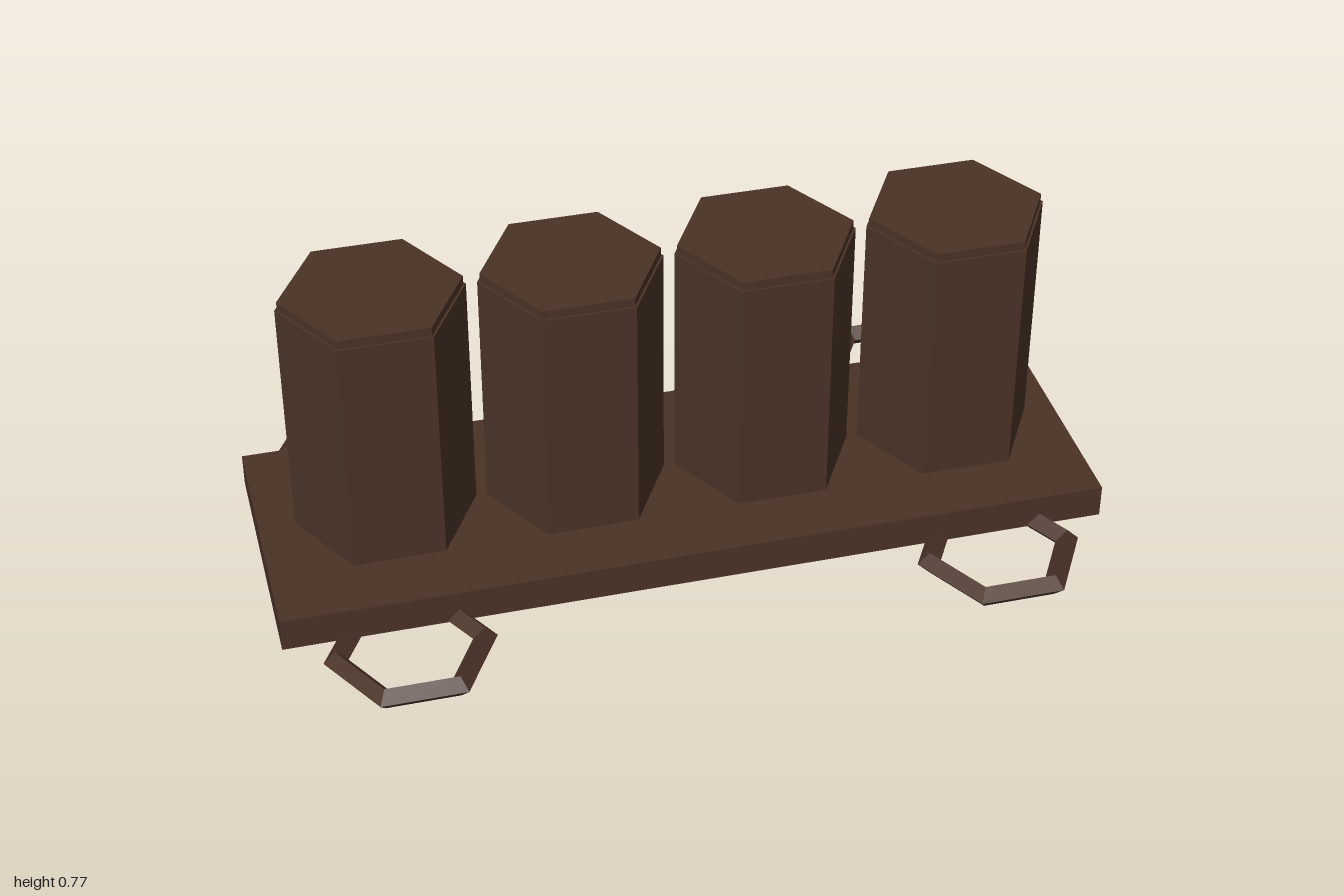
import * as THREE from 'three';

export function createModel() {
  const model = new THREE.Group();
  const brown = new THREE.MeshStandardMaterial({ color: 0x4a3226, flatShading: true });
  brown.name = 'dark brown';

  const add = (parent, name, geometry, x, y, z) => {
    const mesh = new THREE.Mesh(geometry, brown);
    mesh.name = name;
    mesh.position.set(x, y, z);
    parent.add(mesh);
    return mesh;
  };

  // Hexagonal prism with two corners pointing along x
  const hexPrism = (radius, height) =>
    new THREE.CylinderGeometry(radius, radius, height, 6, 1, false, Math.PI / 6);

  // Flat base plate
  add(model, 'basePlate', new THREE.BoxGeometry(2, 0.083, 0.64), 0, 0.0665, 0);

  // Row of four hexagonal columns hovering above the plate, each with a stepped cap
  const body = hexPrism(0.219, 0.613);
  const cap = hexPrism(0.213, 0.022);
  for (let i = 0; i < 4; i++) {
    const column = new THREE.Group();
    column.name = 'column' + (i + 1);
    column.position.x = (i - 1.5) * 0.464;
    add(column, 'columnBody', body, 0, 0.4375, 0);
    add(column, 'columnCap', cap, 0, 0.755, 0);
    model.add(column);
  }

  // Four hexagonal rings with a diamond section, tucked under the plate's long sides
  const ring = new THREE.TorusGeometry(0.174, 0.029, 4, 6).rotateX(Math.PI / 2);
  for (const x of [-1, 1]) {
    for (const z of [-1, 1]) {
      const name = (z > 0 ? 'front' : 'back') + (x > 0 ? 'Left' : 'Right') + 'Ring';
      add(model, name, ring, x * 0.713, 0.029, z * 0.396);
    }
  }

  return model;
}
